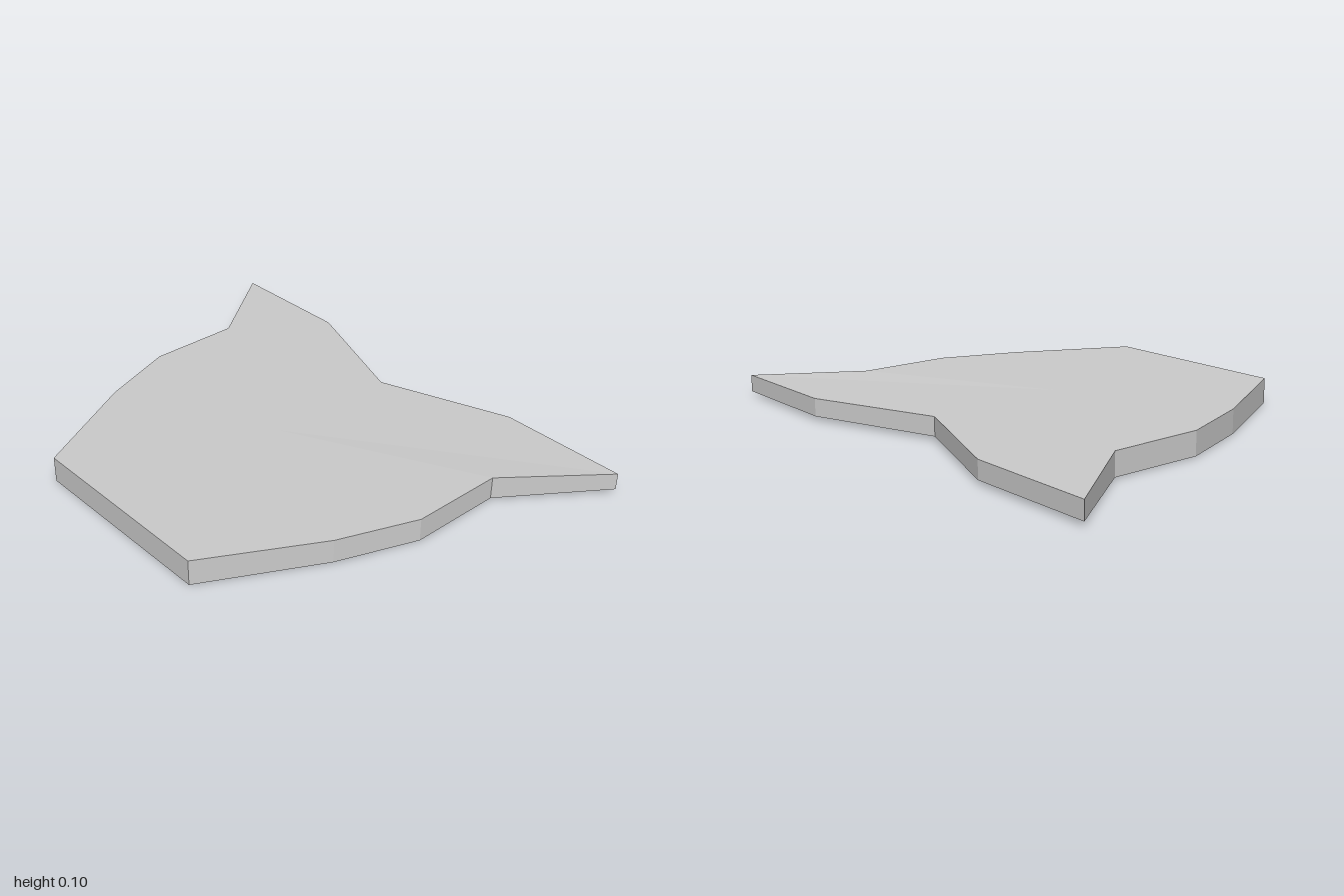
import * as THREE from 'three';

export function createModel() {
  const group = new THREE.Group();
  group.name = 'taperedPlate';

  // Half outline from the notch to the blunt end: x, z, half thickness
  const half = [
    [0.545, 0, 0.036], [0.73, 0.5, 0.034], [0.73, 1, 0.033], [0.365, 0.73, 0.044],
    [0, 0.73, 0.045], [-0.3, 0.62, 0.046], [-0.73, 0.39, 0.05],
  ];
  const mirrored = half.slice(1).reverse().map(([x, z, t]) => [x, -z, t]);
  const outline = [...half, ...mirrored];
  const center = [0, 0, 0.045];
  const midY = 0.05;

  const positions = [];
  // side is +1 for the upper surface and -1 for the lower one
  const add = ([x, z, t], side) => positions.push(x, midY + side * t, z);

  outline.forEach((a, i) => {
    const b = outline[(i + 1) % outline.length];
    // Upper and lower faces fan out from the centre
    add(center, 1); add(b, 1); add(a, 1);
    add(center, -1); add(a, -1); add(b, -1);
    // Rim wall
    add(a, -1); add(a, 1); add(b, 1);
    add(a, -1); add(b, 1); add(b, -1);
  });

  const geometry = new THREE.BufferGeometry();
  geometry.setAttribute('position', new THREE.Float32BufferAttribute(positions, 3));
  geometry.computeVertexNormals();

  const plate = new THREE.Mesh(
    geometry,
    new THREE.MeshStandardMaterial({ color: 0xcccccc, flatShading: true })
  );
  plate.name = 'plate';
  group.add(plate);
  return group;
}
